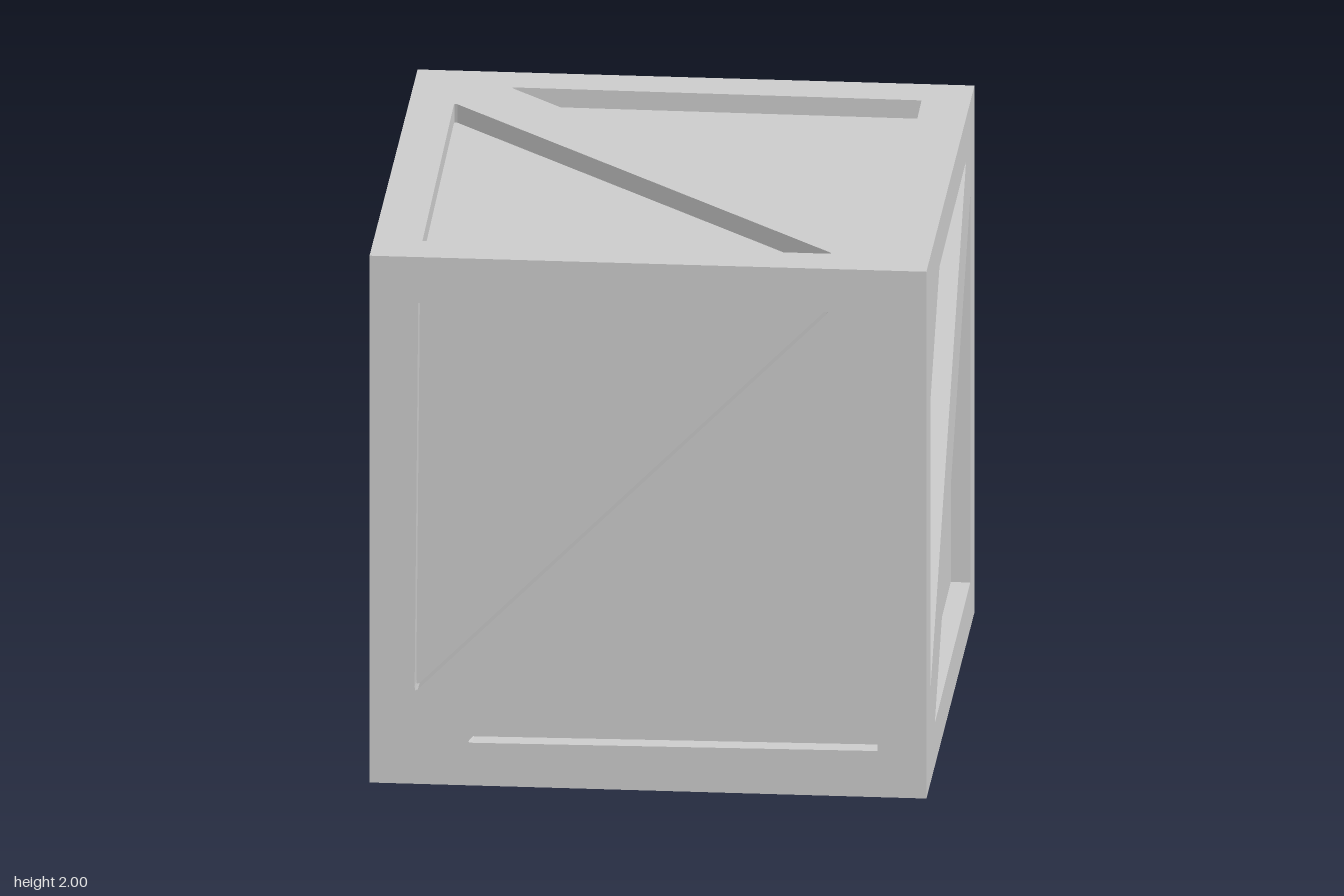
import * as THREE from 'three';

const DEPTH = 0.07; // depth of the triangular recesses
const H = Math.PI / 2;

// Square face frame with a diagonal brace between two triangular openings
function frameGeometry() {
  const pts = (list) => list.map(([x, y]) => new THREE.Vector2(x, y));
  const shape = new THREE.Shape(pts([[-1, -1], [1, -1], [1, 1], [-1, 1]]));
  const opening = [
    [-0.825, 0.825], [-0.838, -0.63], [-0.836, -0.645], [-0.826, -0.641],
    [0.641, 0.826], [0.645, 0.836], [0.63, 0.838],
  ];
  shape.holes.push(new THREE.Path(pts(opening)));
  shape.holes.push(new THREE.Path(pts(opening.map(([x, y]) => [-x, -y]))));

  const geo = new THREE.ExtrudeGeometry(shape, { depth: DEPTH, bevelEnabled: false });
  geo.translate(0, 0, 1 - DEPTH);

  // Mitre the outer rim so neighbouring frames meet at 45 degrees
  const p = geo.attributes.position;
  for (let i = 0; i < p.count; i++) {
    if (p.getZ(i) > 1 - DEPTH / 2) continue;
    if (Math.abs(p.getX(i)) > 0.99) p.setX(i, p.getX(i) * (1 - DEPTH));
    if (Math.abs(p.getY(i)) > 0.99) p.setY(i, p.getY(i) * (1 - DEPTH));
  }
  geo.computeVertexNormals();
  return geo;
}

export function createModel() {
  const model = new THREE.Group();
  model.name = 'crate';
  const material = new THREE.MeshStandardMaterial({ color: 0xcccccc, flatShading: true });

  // Inner box: its sides are the recessed panels
  const inner = 2 - 2 * DEPTH;
  const core = new THREE.Mesh(new THREE.BoxGeometry(inner, inner, inner), material);
  core.name = 'recessedPanels';
  core.position.y = 1;
  model.add(core);

  // One frame per side; the z turn picks the direction of the brace
  const geo = frameGeometry();
  const sides = {
    frontFrame: [0, 0, 0],
    leftFrame: [0, H, 0],
    backFrame: [0, 2 * H, H],
    rightFrame: [0, -H, H],
    topFrame: [-H, 0, H],
    bottomFrame: [H, 0, 0],
  };
  for (const [name, turn] of Object.entries(sides)) {
    const frame = new THREE.Mesh(geo, material);
    frame.name = name;
    frame.rotation.set(...turn);
    frame.position.y = 1;
    model.add(frame);
  }
  return model;
}
